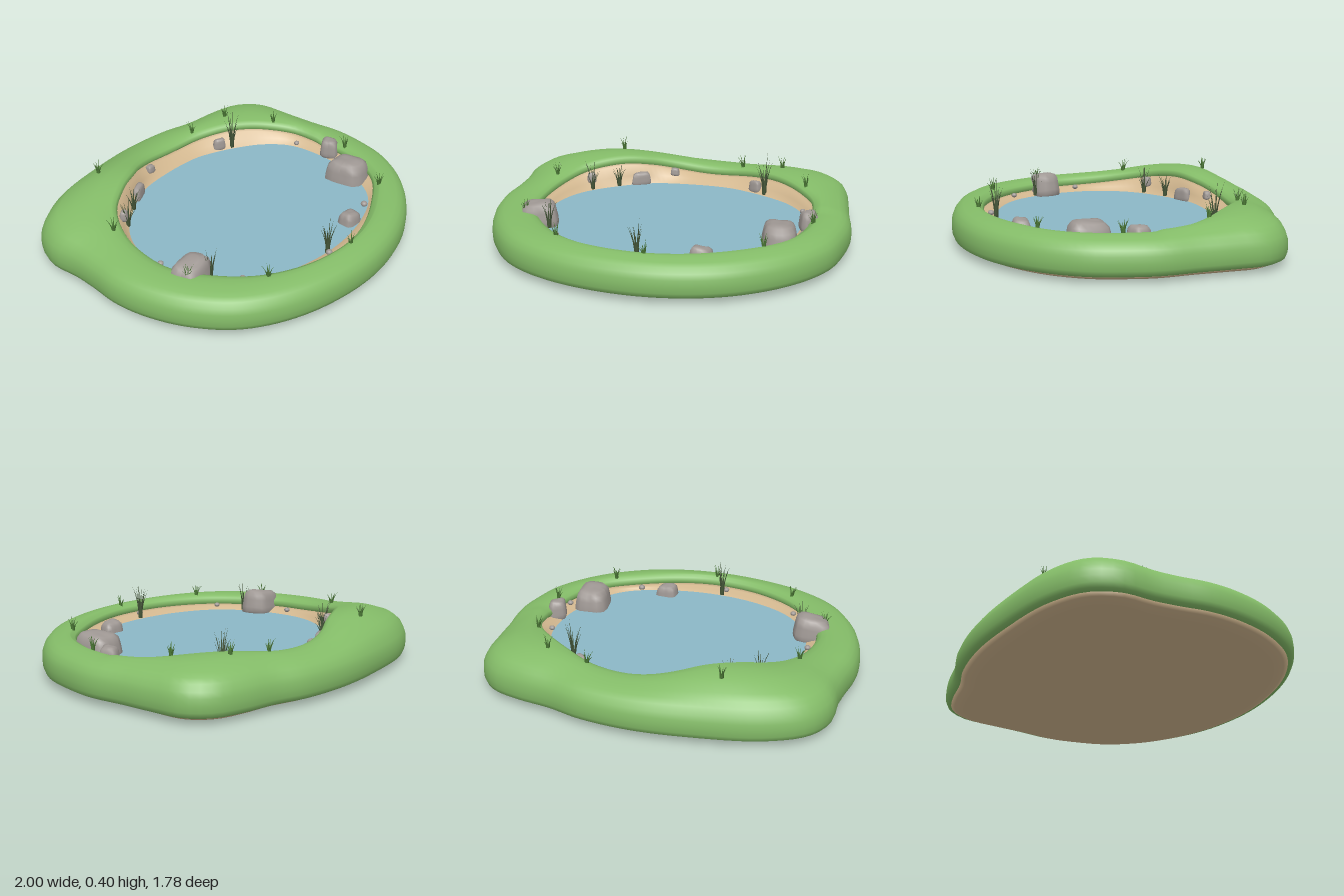
import * as THREE from 'three';
import { mergeGeometries } from 'three/addons/utils/BufferGeometryUtils.js';

const mat = (name, color, side = THREE.FrontSide) => {
  const m = new THREE.MeshStandardMaterial({ color, side });
  m.name = name;
  return m;
};

let seed = 7;
const rand = () => (seed = (seed * 16807) % 2147483647) / 2147483647;

// Closed outline through [x, z] points, returned as radius by angle
function outline(points) {
  const curve = new THREE.CatmullRomCurve3(points.map(([x, z]) => new THREE.Vector3(x, 0, z)), true);
  const polar = curve.getPoints(600).slice(0, -1)
    .map(p => [(Math.atan2(p.z, p.x) + Math.PI * 2) % (Math.PI * 2), Math.hypot(p.x, p.z)])
    .sort((a, b) => a[0] - b[0]);
  const first = polar[0], last = polar[polar.length - 1];
  polar.unshift([last[0] - Math.PI * 2, last[1]]);
  polar.push([first[0] + Math.PI * 2, first[1]]);
  return a => {
    const k = Math.max(1, polar.findIndex(p => p[0] >= a));
    const [a0, r0] = polar[k - 1], [a1, r1] = polar[k];
    return r0 + (r1 - r0) * (a - a0) / Math.max(1e-6, a1 - a0);
  };
}

const outer = outline([[1, 0], [0.98, -0.2], [0.965, -0.4], [0.94, -0.58], [0.84, -0.7], [0.68, -0.76], [0.48, -0.8],
  [0.29, -0.86], [0, -0.893], [-0.32, -0.87], [-0.67, -0.8], [-0.88, -0.68], [-0.96, -0.52], [-0.96, -0.35],
  [-0.975, -0.2], [-0.998, -0.04], [-0.985, 0.15], [-0.91, 0.39], [-0.75, 0.62], [-0.45, 0.8], [0, 0.885],
  [0.4, 0.82], [0.72, 0.63], [0.91, 0.39], [0.98, 0.16]]);
const inner = outline([[0.78, 0], [0.765, -0.18], [0.68, -0.32], [0.56, -0.44], [0.43, -0.53], [0.29, -0.595],
  [0, -0.63], [-0.16, -0.6], [-0.27, -0.55], [-0.43, -0.48], [-0.59, -0.38], [-0.695, -0.21], [-0.74, -0.02],
  [-0.74, 0.14], [-0.67, 0.31], [-0.51, 0.52], [-0.27, 0.66], [0, 0.71], [0.21, 0.68], [0.43, 0.59],
  [0.64, 0.45], [0.75, 0.24]]);
const shore = outline([[0.73, 0], [0.71, -0.18], [0.615, -0.32], [0.48, -0.42], [0.37, -0.48], [0.24, -0.53],
  [0, -0.55], [-0.21, -0.53], [-0.4, -0.44], [-0.59, -0.29], [-0.685, -0.1], [-0.69, 0.08], [-0.64, 0.27],
  [-0.51, 0.46], [-0.29, 0.585], [0, 0.64], [0.29, 0.61], [0.51, 0.52], [0.64, 0.36], [0.71, 0.16]]);

const WATER = 0.14;
// Crest height of the bank: level at the front, two humps behind
function crest(a) {
  const d = ((a * 180 / Math.PI) + 360) % 360;
  const hump = (c, s, h) => h * Math.exp(-0.5 * ((d - c) / s) ** 2);
  return 0.22 + hump(233, 24, 0.093) + hump(320, 20, 0.055);
}

// Surface from a radial profile [[radius, y], ...] that varies with angle
function loft(profile, segments = 128) {
  const pos = [], index = [];
  let n = 0;
  for (let i = 0; i < segments; i++) {
    const a = i / segments * Math.PI * 2;
    const ring = profile(a);
    n = ring.length;
    for (const [r, y] of ring) pos.push(r * Math.cos(a), y, r * Math.sin(a));
  }
  for (let i = 0; i < segments; i++) {
    const p = i * n, q = ((i + 1) % segments) * n;
    for (let j = 0; j < n - 1; j++) index.push(p + j, q + j, p + j + 1, q + j, q + j + 1, p + j + 1);
  }
  const g = new THREE.BufferGeometry();
  g.setAttribute('position', new THREE.Float32BufferAttribute(pos, 3));
  g.setIndex(index);
  g.computeVertexNormals();
  return g;
}

function bankProfile(a) {
  const ri = inner(a), ro = outer(a), h = crest(a), up = h - 0.22, w = ro - ri - 0.1;
  return [[ri + 0.01, h - 0.055], [ri - 0.002, h - 0.036], [ri + 0.008, h - 0.018], [ri + 0.03, h - 0.006],
    [ri + w * 0.4, h], [ri + w * 0.7, 0.22 + up * 0.85], [ri + w, 0.214 + up * 0.5], [ro - 0.065, 0.206 + up * 0.3],
    [ro - 0.036, 0.192 + up * 0.15], [ro - 0.014, 0.165], [ro - 0.003, 0.135], [ro, 0.1], [ro - 0.002, 0.065],
    [ro - 0.012, 0.04], [ro - 0.03, 0.03], [ro - 0.07, 0.034]];
}

function bedProfile(a) {
  const ri = inner(a), ro = outer(a), rw = shore(a), h = crest(a), top = h - 0.05;
  return [[0, 0.06], [rw * 0.6, 0.075], [rw - 0.05, 0.11], [rw, WATER],
    [rw + (ri - rw) * 0.5, WATER + (top - WATER) * 0.4], [ri - 0.004, top - 0.012], [ri + 0.03, top],
    [ro - 0.06, 0.06], [ro - 0.03, 0.034], [ro - 0.06, 0.018], [ro - 0.095, 0.003], [ro - 0.12, 0], [0, 0]];
}

// Rounded boulder: a sphere pushed toward a block, narrowed and roughened
function boulder(sx, sy, sz) {
  const g = new THREE.SphereGeometry(1, 18, 12), p = g.attributes.position;
  const k = [rand(), rand(), rand()].map(v => v * 6);
  for (let i = 0; i < p.count; i++) {
    const v = new THREE.Vector3().fromBufferAttribute(p, i);
    const f = 1 / (Math.abs(v.x) ** 5 + Math.abs(v.y) ** 5 + Math.abs(v.z) ** 5) ** 0.2;
    const rough = 1 + 0.08 * Math.sin(v.x * 2.2 + k[0]) * Math.cos(v.z * 2 + k[1]);
    const taper = 1 - 0.16 * v.y;
    v.multiplyScalar(f * rough);
    p.setXYZ(i, v.x * sx * taper, (v.y + 0.12 * v.x * Math.sin(k[2])) * sy, v.z * sz * taper);
  }
  g.computeVertexNormals();
  return g;
}

// Clump of thin blades that bend outward
function clump(count, height, spread, width) {
  const blades = [];
  for (let i = 0; i < count; i++) {
    const h = height * (i ? 0.55 + 0.42 * rand() : 1);
    const g = new THREE.ConeGeometry(width, h, 3, 4).translate(0, h / 2, 0);
    const p = g.attributes.position;
    const lean = spread * (i ? 0.5 + 0.5 * rand() : 0.2);
    for (let j = 0; j < p.count; j++) {
      const t = p.getY(j) / h;
      p.setX(j, p.getX(j) + spread * 0.15 + lean * t * t);
    }
    g.rotateY(i / count * Math.PI * 2 + rand() * 0.6);
    g.computeVertexNormals();
    blades.push(g);
  }
  return mergeGeometries(blades);
}

export function createModel() {
  const model = new THREE.Group();
  const grass = mat('grass green', 0x84bc68);
  const sand = mat('sand', 0xd2b78f);
  const water = mat('water blue', 0x8bb7c6);
  const stone = mat('stone grey', 0x9f9894);
  const reed = mat('reed green', 0x46583a, THREE.DoubleSide);
  const tuft = mat('tuft green', 0x4c7a36, THREE.DoubleSide);

  const add = (name, g, m, x = 0, y = 0, z = 0, turn = 0) => {
    const mesh = new THREE.Mesh(g, m);
    mesh.name = name;
    mesh.position.set(x, y, z);
    mesh.rotation.y = turn;
    model.add(mesh);
  };

  // Ground and water
  add('grassBank', loft(bankProfile), grass);
  add('sandBed', loft(bedProfile), sand);
  add('waterSurface', loft(a => [[0, WATER], [shore(a) + 0.003, WATER]]), water);

  // Boulders: x, y, z, half sizes, turn
  for (const [x, y, z, sx, sy, sz, turn] of [
    [-0.7, 0.19, 0.235, 0.1, 0.075, 0.078, 0.15], [0.635, 0.17, 0.285, 0.09, 0.085, 0.11, 0.08],
    [0.262, 0.145, 0.56, 0.058, 0.055, 0.048, -0.1], [0.77, 0.185, 0.065, 0.05, 0.06, 0.05, 0.4],
    [0.41, 0.175, -0.49, 0.036, 0.035, 0.02, -0.6], [-0.28, 0.17, -0.51, 0.055, 0.04, 0.022, 0.4],
    [-0.09, 0.2, -0.595, 0.025, 0.022, 0.02, 0], [-0.55, 0.21, -0.37, 0.024, 0.03, 0.02, 0.5]])
    add('boulder', boulder(sx, sy, sz), stone, x, y, z, turn);

  // Pebbles: x, z, radius
  for (const [x, z, r] of [[-0.71, 0.04, 0.017], [-0.54, 0.45, 0.016], [0.42, 0.55, 0.019],
    [0.75, 0.21, 0.018], [0.72, -0.14, 0.016], [-0.08, 0.665, 0.018]])
    add('pebble', new THREE.SphereGeometry(r, 12, 8).scale(1, 0.8, 1), stone, x, 0.168, z);

  // Reeds at the shore: x, z, height
  for (const [x, z, h] of [[0.47, -0.44, 0.255], [-0.06, 0.64, 0.22], [-0.54, -0.35, 0.18],
    [-0.62, 0.305, 0.175], [-0.4, -0.44, 0.14]])
    add('reeds', clump(11, h, 0.045, 0.006), reed, x, 0.145, z);

  // Grass tufts on the bank
  for (const [x, z] of [[-0.42, -0.68], [0.32, -0.625], [0.56, -0.57], [0.72, -0.32], [-0.73, -0.27],
    [0.8, 0.155], [0.58, 0.54], [0, 0.745], [-0.5, 0.585], [-0.76, 0.27]])
    add('grassTuft', clump(7, 0.085, 0.034, 0.0065), tuft, x, crest(Math.atan2(z, x)) - 0.012, z);

  return model;
}
